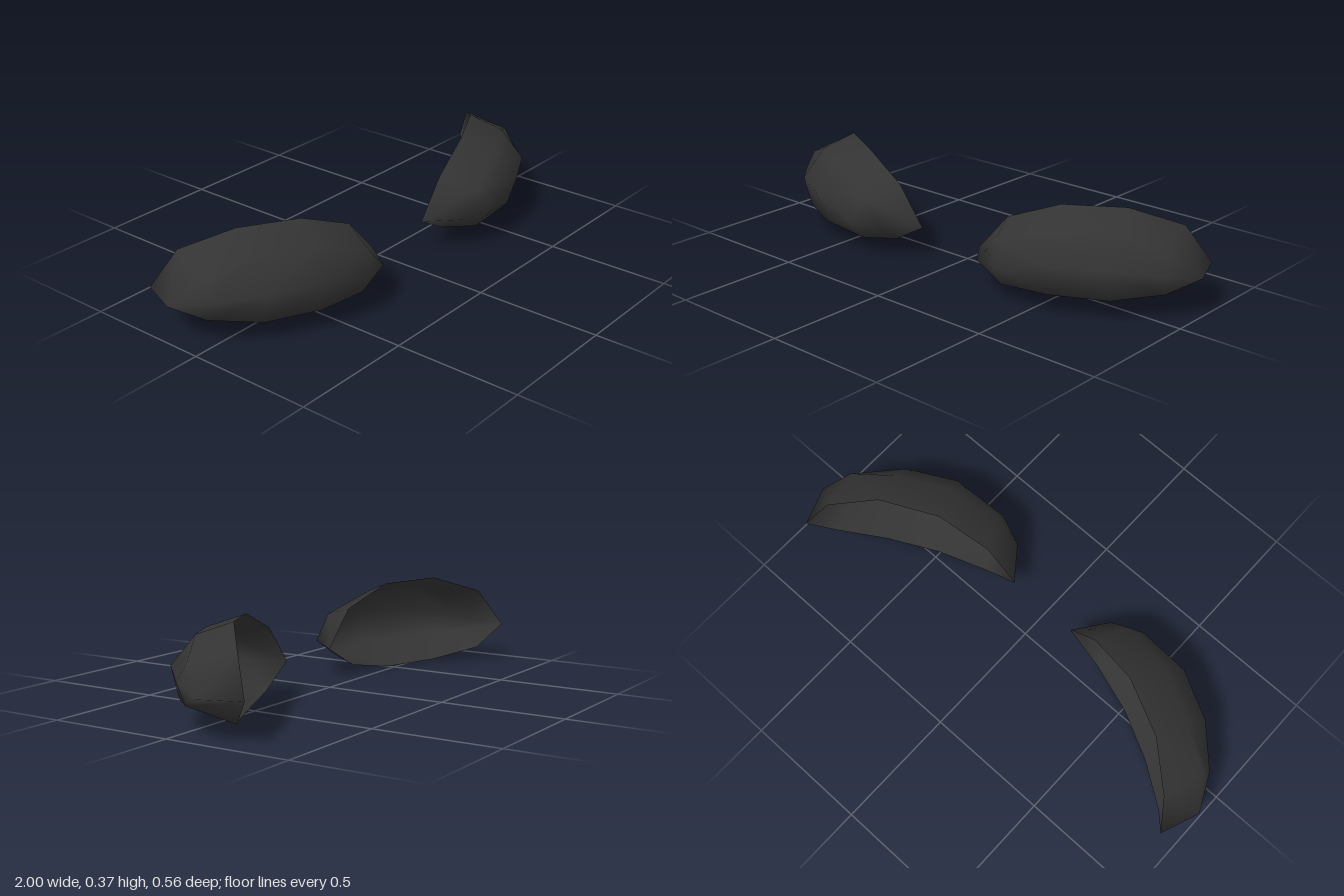
import * as THREE from 'three';
import { mergeVertices } from 'three/addons/utils/BufferGeometryUtils.js';

// Cross-sections of the left shell, inner tip to outer tip.
// Each runs from the top rim over the domed front to the bottom rim.
const innerTip = [0.15, 0.12, 0.10], innerFront = [0.25, 0.13, 0.23];
const outerTip = [0.94, 0.15, -0.285], outerFront = [1.0, 0.15, -0.13];
const sections = [
  [innerTip, innerFront, innerFront, innerFront, innerTip],
  [[0.28, 0.27, 0.09], [0.34, 0.23, 0.23], [0.375, 0.14, 0.28], [0.36, 0.06, 0.22], [0.31, 0.03, 0.085]],
  [[0.49, 0.355, 0.04], [0.56, 0.305, 0.17], [0.60, 0.20, 0.25], [0.58, 0.08, 0.22], [0.51, 0.0, 0.025]],
  [[0.71, 0.365, -0.07], [0.76, 0.315, 0.06], [0.79, 0.20, 0.15], [0.78, 0.08, 0.12], [0.70, 0.01, -0.075]],
  [[0.87, 0.30, -0.205], [0.92, 0.25, -0.03], [0.93, 0.18, 0.01], [0.92, 0.10, -0.02], [0.87, 0.05, -0.20]],
  [outerTip, outerFront, outerFront, outerFront, outerTip],
];

// Open curved shell joined from the sections; side = -1 mirrors it
function shellGeometry(side) {
  const positions = [];
  const tri = (a, b, c) => {
    if (a === b || b === c || a === c) return;
    const corners = side > 0 ? [a, b, c] : [a, c, b];
    for (const [x, y, z] of corners) positions.push(x * side, y, z);
  };
  for (let s = 0; s < sections.length - 1; s++) {
    const p = sections[s], q = sections[s + 1];
    for (let r = 0; r < p.length - 1; r++) {
      tri(p[r], p[r + 1], q[r + 1]);
      tri(p[r], q[r + 1], q[r]);
    }
  }
  const raw = new THREE.BufferGeometry();
  raw.setAttribute('position', new THREE.Float32BufferAttribute(positions, 3));
  const geometry = mergeVertices(raw);
  geometry.computeVertexNormals();
  return geometry;
}

export function createModel() {
  const model = new THREE.Group();
  model.name = 'shellPair';
  const charcoal = new THREE.MeshStandardMaterial({ color: 0x333333, side: THREE.DoubleSide });
  charcoal.name = 'charcoal';

  for (const [name, side] of [['leftShell', 1], ['rightShell', -1]]) {
    const shell = new THREE.Mesh(shellGeometry(side), charcoal);
    shell.name = name;
    model.add(shell);
  }
  return model;
}
